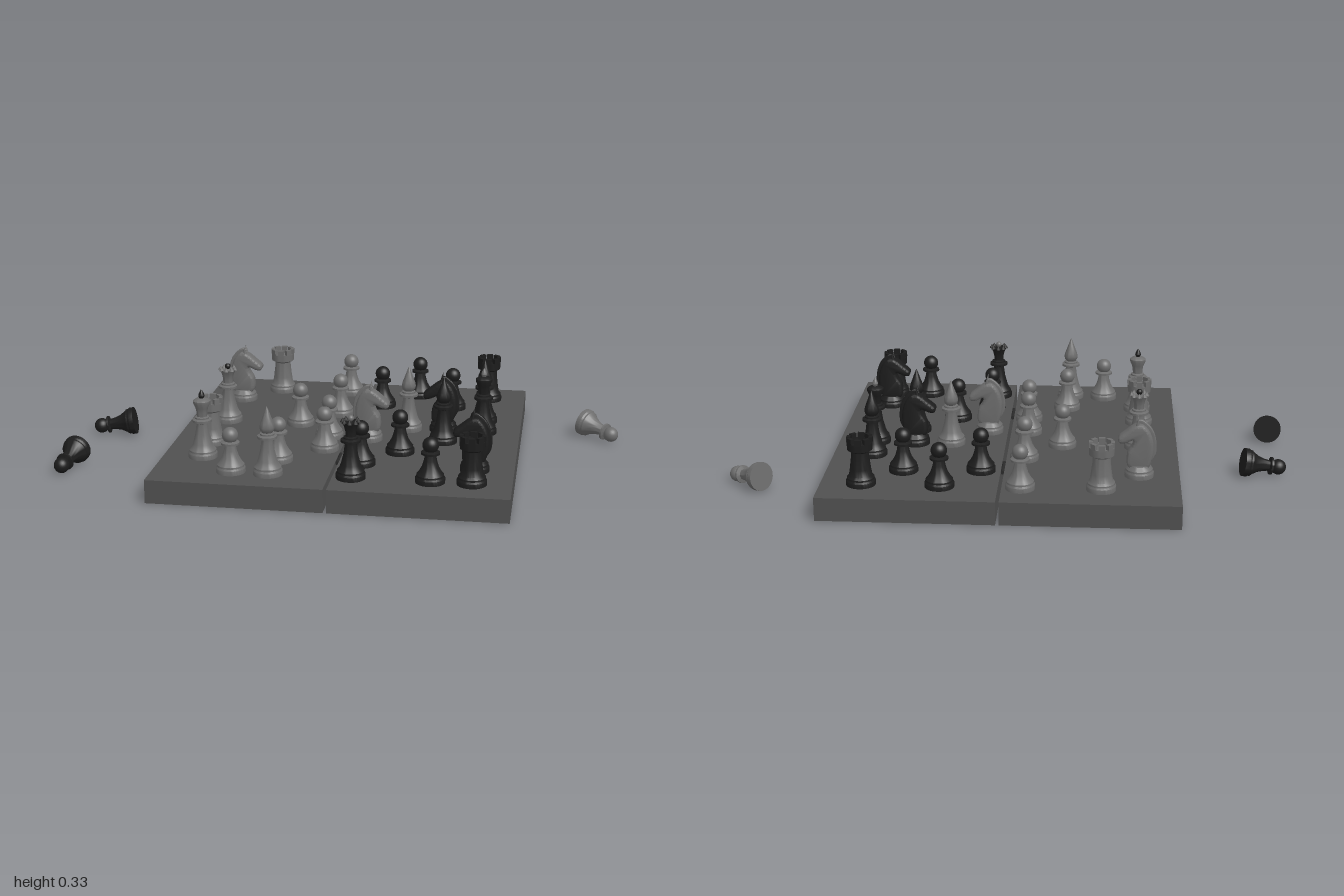
import * as THREE from 'three';
import { toCreasedNormals } from 'three/addons/utils/BufferGeometryUtils.js';

const material = (color) => new THREE.MeshStandardMaterial({ color, side: THREE.DoubleSide });
const LIGHT = material(0x6c6c6c);
const DARK = material(0x1c1c1c);
const WOOD = material(0x505050);
const METAL = material(0x2a2a2a);
const TOP = 0.083;

function add(parent, name, geometry, mat, x = 0, y = 0, z = 0) {
  const mesh = new THREE.Mesh(geometry, mat);
  mesh.name = name;
  mesh.position.set(x, y, z);
  parent.add(mesh);
  return mesh;
}

// Turned body from [radius, height] pairs
const turned = (points) => toCreasedNormals(
  new THREE.LatheGeometry(points.map(([r, y]) => new THREE.Vector2(r, y)), 32), 0.6);

// Foot shared by all the pieces
const foot = [[0, 0], [0.051, 0], [0.051, 0.016], [0.047, 0.022], [0.047, 0.028], [0.04, 0.036]];
// Slim stem and double collar shared by bishop, queen and king
const stem = [...foot, [0.034, 0.05], [0.025, 0.085], [0.02, 0.12], [0.02, 0.125],
  [0.034, 0.13], [0.034, 0.138], [0.025, 0.142], [0.025, 0.147], [0.018, 0.15]];

const pawnBody = turned([...foot, [0.029, 0.055], [0.022, 0.078], [0.019, 0.096],
  [0.032, 0.1], [0.032, 0.107], [0.018, 0.112], [0.014, 0.118]]);
const rookBody = turned([...foot, [0.036, 0.06], [0.031, 0.1], [0.03, 0.12], [0.043, 0.128],
  [0.044, 0.155], [0.031, 0.155], [0.031, 0.145], [0, 0.145]]);
const bishopBody = turned([...stem, [0.024, 0.158], [0.026, 0.168], [0.023, 0.182],
  [0.014, 0.206], [0.006, 0.228], [0, 0.242]]);
const queenBody = turned([...stem, [0.018, 0.165], [0.023, 0.185], [0.031, 0.2],
  [0.025, 0.2], [0.012, 0.196], [0, 0.203]]);
const kingBody = turned([...stem, [0.019, 0.165], [0.022, 0.18], [0.03, 0.198],
  [0.03, 0.206], [0.022, 0.212], [0, 0.217]]);
const kingTip = turned([[0, 0], [0.007, 0.002], [0.011, 0.012], [0.008, 0.022], [0, 0.036]]);
const knightBase = turned([...foot, [0.036, 0.042], [0, 0.046]]);
const ball = new THREE.SphereGeometry(1, 24, 16);

// Side outline extruded with rounded edges, centred on its thickness
function slab(points, depth, bevel) {
  const shape = new THREE.Shape();
  shape.moveTo(...points[0]);
  shape.splineThru([...points.slice(1), points[0]].map(([x, y]) => new THREE.Vector2(x, y)));
  const geometry = new THREE.ExtrudeGeometry(shape, {
    depth: depth - 2 * bevel, curveSegments: 40, steps: 1,
    bevelEnabled: true, bevelThickness: bevel, bevelSize: bevel, bevelOffset: -bevel, bevelSegments: 3,
  });
  geometry.translate(0, 0, -depth / 2 + bevel);
  return toCreasedNormals(geometry, 0.7);
}
const horse = slab([[-0.034, 0.036], [-0.046, 0.08], [-0.045, 0.13], [-0.03, 0.17], [-0.004, 0.193],
  [0.022, 0.185], [0.048, 0.165], [0.074, 0.142], [0.07, 0.124], [0.05, 0.124], [0.024, 0.134],
  [0.026, 0.115], [0.042, 0.085], [0.036, 0.036]], 0.05, 0.011);
const mane = slab([[-0.038, 0.05], [-0.056, 0.085], [-0.055, 0.135], [-0.038, 0.178], [-0.006, 0.206],
  [0.012, 0.198], [-0.01, 0.17], [-0.025, 0.12]], 0.014, 0.003);
const ear = new THREE.ConeGeometry(0.008, 0.036, 10);

const builders = {
  pawn(g, mat) {
    add(g, 'pawnBody', pawnBody, mat);
    add(g, 'pawnHead', ball, mat, 0, 0.131, 0).scale.setScalar(0.028);
  },
  rook(g, mat) {
    add(g, 'rookBody', rookBody, mat);
    // Battlements
    for (let i = 0; i < 8; i++) {
      const a = (i / 8) * Math.PI * 2;
      const block = add(g, 'battlement', new THREE.BoxGeometry(0.013, 0.02, 0.022), mat,
        Math.cos(a) * 0.0375, 0.163, Math.sin(a) * 0.0375);
      block.rotation.y = -a;
    }
  },
  bishop(g, mat) {
    add(g, 'bishopBody', bishopBody, mat);
  },
  queen(g, mat, accent) {
    add(g, 'queenBody', queenBody, mat);
    // Crown points
    for (let i = 0; i < 8; i++) {
      const a = (i / 8) * Math.PI * 2;
      add(g, 'crownPoint', new THREE.ConeGeometry(0.009, 0.016, 8), mat,
        Math.cos(a) * 0.027, 0.206, Math.sin(a) * 0.027);
    }
    add(g, 'crownBall', ball, accent, 0, 0.212, 0).scale.setScalar(0.011);
  },
  king(g, mat, accent) {
    add(g, 'kingBody', kingBody, mat);
    add(g, 'kingFinial', kingTip, accent, 0, 0.212, 0);
  },
  knight(g, mat) {
    add(g, 'knightBase', knightBase, mat);
    add(g, 'horseHead', horse, mat);
    add(g, 'mane', mane, mat);
    for (const s of [-1, 1]) {
      const e = add(g, 'ear', ear, mat, 0.008, 0.2, s * 0.015);
      e.rotation.set(s * 0.1, 0, 0.1);
    }
  },
};

// Positions [x, z] of the standing pieces
const lightSet = {
  rook: [[-0.33, -0.48], [-0.465, 0.19]],
  knight: [[-0.46, -0.345], [0.09, 0.065]],
  bishop: [[-0.2, 0.48], [0.22, -0.07]],
  queen: [[-0.46, -0.07]],
  king: [[-0.46, 0.34]],
  pawn: [[-0.055, -0.485], [-0.055, -0.21], [-0.185, -0.07], [-0.055, 0.06], [-0.05, 0.2],
    [-0.19, 0.34], [-0.33, 0.475]],
};
const darkSet = {
  rook: [[0.49, -0.48], [0.495, 0.475]],
  knight: [[0.35, -0.075], [0.495, 0.34]],
  bishop: [[0.49, -0.2], [0.36, 0.055]],
  queen: [[0.085, 0.475]],
  king: [[0.495, -0.07]],
  pawn: [[0.22, -0.485], [0.09, -0.335], [0.36, -0.35], [0.22, 0.195], [0.1, 0.335], [0.355, 0.475]],
};

export function createModel() {
  const model = new THREE.Group();
  model.name = 'chessSet';

  const piece = (kind, side, mat, accent) => {
    const g = new THREE.Group();
    g.name = `${side}${kind[0].toUpperCase()}${kind.slice(1)}`;
    builders[kind](g, mat, accent);
    model.add(g);
    return g;
  };

  // Folding board: two hollow trays, open underneath
  const zMid = -0.005, length = 1.22, width = 0.61, wall = 0.022, panel = 0.02;
  for (const [name, x] of [['rightBoardHalf', -0.296], ['leftBoardHalf', 0.326]]) {
    const half = new THREE.Group();
    half.name = name;
    half.position.set(x, 0, zMid);
    model.add(half);
    const h = TOP - panel;
    add(half, 'playingSurface', new THREE.BoxGeometry(width, panel, length), WOOD, 0, TOP - panel / 2, 0);
    for (const s of [-1, 1]) {
      add(half, 'sideWall', new THREE.BoxGeometry(wall, h, length), WOOD, s * (width - wall) / 2, h / 2, 0);
      add(half, 'endWall', new THREE.BoxGeometry(width - 2 * wall, h, wall), WOOD,
        0, h / 2, s * (length - wall) / 2);
    }
  }

  // Hinges in the gap
  for (const s of [-1, 1]) {
    const pin = add(model, 'hinge', new THREE.CylinderGeometry(0.007, 0.007, 0.095, 12), METAL,
      0.015, TOP - 0.006, zMid + s * 0.283);
    pin.rotation.x = Math.PI / 2;
  }

  // Standing pieces, the two sides facing each other
  for (const [side, set, mat, accent, turn] of [
    ['light', lightSet, LIGHT, DARK, 0], ['dark', darkSet, DARK, LIGHT, Math.PI]]) {
    for (const [kind, spots] of Object.entries(set)) {
      for (const [x, z] of spots) {
        const g = piece(kind, side, mat, accent);
        g.position.set(x, TOP, z);
        g.rotation.y = turn;
      }
    }
  }

  // Captured pawns lying beside the board: foot x, z and heading x, z
  for (const [side, mat, x, z, dx, dz] of [
    ['dark', DARK, -0.838, -0.112, -0.99, 0.12],
    ['dark', DARK, -0.955, 0.232, -0.15, 0.98],
    ['light', LIGHT, 0.863, -0.358, 0.8, 0.6]]) {
    const g = piece('pawn', side, mat);
    g.position.set(x, 0.0505, z);
    g.quaternion.setFromUnitVectors(new THREE.Vector3(0, 1, 0), new THREE.Vector3(dx, -0.17, dz).normalize());
  }
  return model;
}
